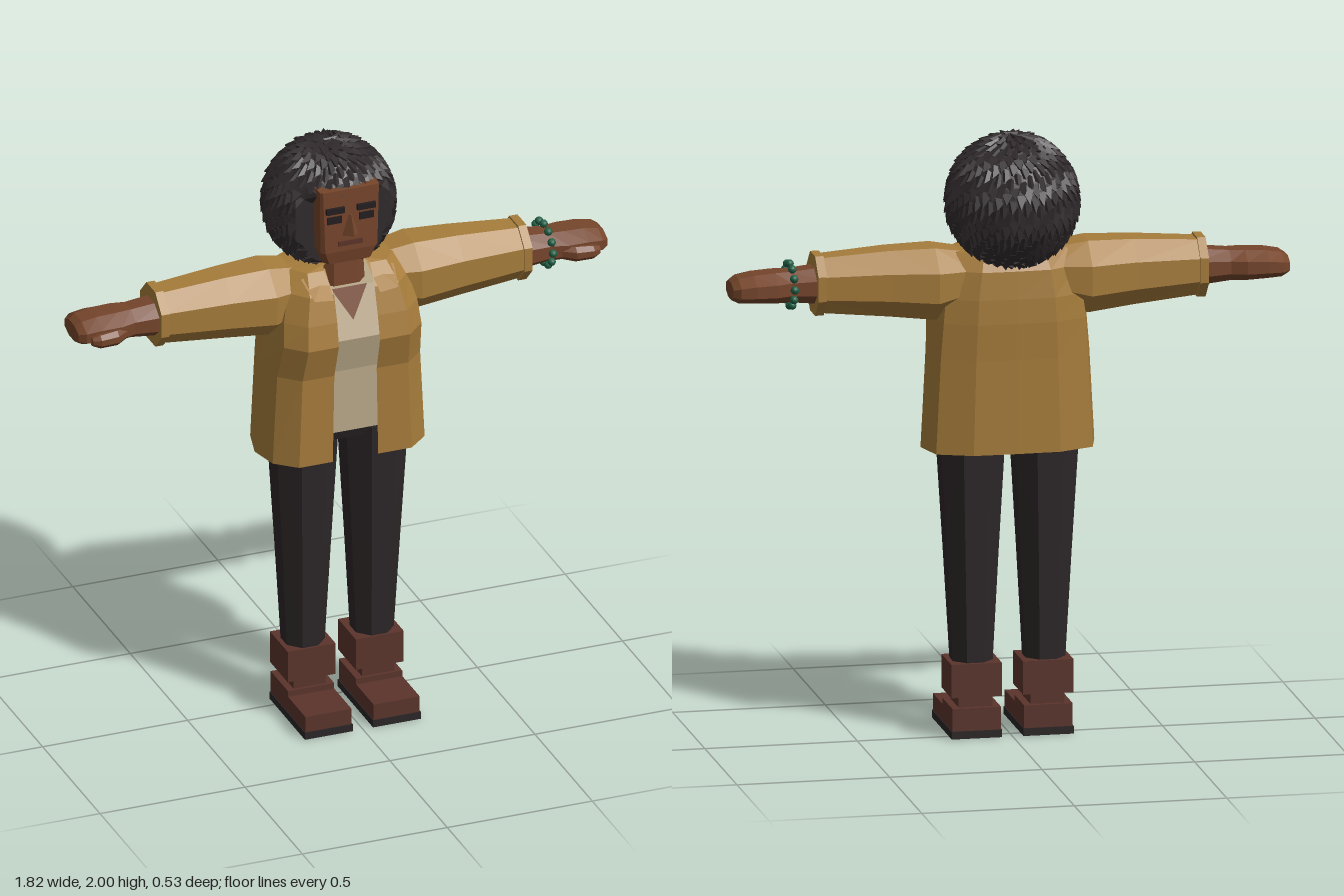
import * as THREE from 'three';
import { mergeGeometries } from 'three/addons/utils/BufferGeometryUtils.js';

const mat = (name, color) => Object.assign(new THREE.MeshStandardMaterial({ color }), { name });

// Flat facets from a list of triangles, each made of three [x, y, z] corners
function facets(tris) {
  const g = new THREE.BufferGeometry();
  g.setAttribute('position', new THREE.Float32BufferAttribute(tris.flat(2), 3));
  g.computeVertexNormals();
  return g;
}

// Skin a row of cross-sections; corners run counter-clockwise seen from the last section
function loft(rings, closed = true) {
  const t = [], n = rings[0].length;
  for (let r = 0; r < rings.length - 1; r++) {
    for (let i = 0; i < (closed ? n : n - 1); i++) {
      const j = (i + 1) % n, a = rings[r], b = rings[r + 1];
      t.push([a[i], a[j], b[j]], [a[i], b[j], b[i]]);
    }
  }
  if (closed) {
    const a = rings[0], b = rings[rings.length - 1];
    for (let i = 1; i < n - 1; i++) t.push([a[0], a[i + 1], a[i]], [b[0], b[i], b[i + 1]]);
  }
  return facets(t);
}

// Horizontal section from the [x, z] corners of the left half, front to back
const level = (y, half) => [
  ...half.map(([x, z]) => [x, y, z]),
  ...half.filter(p => p[0] > 0).reverse().map(([x, z]) => [-x, y, z]),
];

// Chamfered rectangular section
const slab = (y, w, back, front, c) =>
  level(y, [[w - c, front], [w, front - c], [w, back + c], [w - c, back]]);

// Eight-sided sections along x (arms) and along y (legs)
const oct = f => Array.from({ length: 8 }, (_, i) => f((i + 0.5) * Math.PI / 4));
const k = 1 / Math.cos(Math.PI / 8);
const armRing = ([x, y, z, ry, rz]) => oct(a => [x, y + ry * k * Math.cos(a), z + rz * k * Math.sin(a)]);
const legRing = ([y, x, z, rx, rz]) => oct(a => [x + rx * k * Math.cos(a), y, z - rz * k * Math.sin(a)]);

function box(x0, x1, y0, y1, z0, z1) {
  return new THREE.BoxGeometry(x1 - x0, y1 - y0, z1 - z0)
    .translate((x0 + x1) / 2, (y0 + y1) / 2, (z0 + z1) / 2);
}

// Mirror across x and restore the winding
function mirrored(geo) {
  const g = geo.index ? geo.toNonIndexed() : geo.clone();
  const p = g.attributes.position;
  for (let i = 0; i < p.count; i += 3) {
    const v = [0, 2, 1].map(j => [-p.getX(i + j), p.getY(i + j), p.getZ(i + j)]);
    v.forEach((q, j) => p.setXYZ(i + j, ...q));
  }
  g.computeVertexNormals();
  return g;
}

export function createModel() {
  const root = new THREE.Group();
  root.name = 'figure';
  const skin = mat('skin', 0x75452b), hair = mat('hair', 0x302a2c), coat = mat('jacket', 0xa67c3b);
  const pants = mat('trousers', 0x2c2627), boot = mat('boot leather', 0x5a342c), sole = mat('sole', 0x2b2526);
  const cloth = mat('shirt', 0xbaa98a), bead = mat('green bead', 0x1f5f45);
  const lip = mat('lips', 0x5c3328), dark = mat('eyes and brows', 0x241f21);
  coat.side = THREE.DoubleSide;

  const add = (name, geo, m) => {
    const mesh = new THREE.Mesh(geo, m);
    mesh.name = name;
    root.add(mesh);
  };
  const pair = (name, geo, m) => {
    add(name + 'Left', geo, m);
    add(name + 'Right', mirrored(geo), m);
  };

  // Boots
  pair('bootSole', box(0.035, 0.2, 0, 0.025, -0.045, 0.265), sole);
  pair('bootFoot', box(0.038, 0.197, 0.025, 0.08, -0.042, 0.262), boot);
  pair('bootHeel', box(0.038, 0.197, 0.08, 0.1, -0.042, 0.11), boot);
  pair('bootAnkle', box(0.062, 0.174, 0.09, 0.15, -0.025, 0.1), boot);
  pair('bootCuff', box(0.035, 0.2, 0.135, 0.245, -0.04, 0.115), boot);

  // Trousers
  pair('trouserLeg', loft([[0.22, 0.119, 0.04, 0.064, 0.066], [0.6, 0.12, 0.042, 0.084, 0.086],
    [1.02, 0.121, 0.043, 0.108, 0.106]].map(legRing)), pants);
  add('hips', loft([slab(0.99, 0.2, -0.06, 0.13, 0.05), slab(1.07, 0.22, -0.08, 0.16, 0.06)]), pants);

  // Shirt with the skin showing at its V neck
  add('shirt', loft([[1.04, 0.21, -0.09, 0.175], [1.26, 0.2, -0.09, 0.175], [1.38, 0.2, -0.09, 0.2],
    [1.54, 0.15, -0.07, 0.14]].map(([y, w, b, f]) => slab(y, w, b, f, 0.05))), cloth);
  add('neckline', facets([[[0, 1.44, 0.182], [0.062, 1.543, 0.144], [-0.062, 1.543, 0.144]]]), skin);
  add('neck', loft([slab(1.5, 0.075, -0.04, 0.125, 0.03), slab(1.66, 0.07, -0.05, 0.115, 0.03)]), skin);

  // Jacket, open down the front
  const jacketLevel = (y, open, w, f, b) =>
    level(y, [[open, f], [w * 0.68, f], [w * 0.92, f - 0.06], [w, 0.04], [w * 0.9, b + 0.045], [w * 0.5, b], [0, b - 0.003]]);
  add('jacket', loft([
    jacketLevel(0.95, 0.078, 0.285, 0.2, -0.115),
    jacketLevel(1.26, 0.073, 0.268, 0.2, -0.115),
    jacketLevel(1.38, 0.071, 0.258, 0.235, -0.118),
    jacketLevel(1.46, 0.07, 0.25, 0.218, -0.115),
    jacketLevel(1.55, 0.07, 0.225, 0.19, -0.105),
    jacketLevel(1.605, 0.08, 0.2, 0.125, -0.075),
    jacketLevel(1.615, 0.07, 0.09, 0.1, -0.05),
  ], false), coat);
  const c = [[0.07, 1.605, 0.11], [0.16, 1.59, 0.13], [0.145, 1.545, 0.21], [0.08, 1.54, 0.215]];
  pair('collarFlap', facets([[c[0], c[3], c[2]], [c[0], c[2], c[1]]]), coat);

  // Sleeves and cuffs
  pair('sleeve', loft([[0.13, 1.515, 0.025, 0.085, 0.1], [0.25, 1.502, 0.025, 0.118, 0.125],
    [0.4, 1.508, 0.03, 0.108, 0.108], [0.625, 1.51, 0.033, 0.09, 0.086]].map(armRing)), coat);
  pair('cuff', loft([[0.612, 1.51, 0.033, 0.098, 0.094], [0.64, 1.51, 0.033, 0.098, 0.094]].map(armRing)), coat);

  // Forearms, hands and thumbs
  pair('hand', loft([[0.6, 1.508, 0.035, 0.062, 0.077], [0.72, 1.508, 0.035, 0.05, 0.068],
    [0.77, 1.508, 0.033, 0.05, 0.084], [0.84, 1.508, 0.03, 0.046, 0.085], [0.89, 1.505, 0.03, 0.04, 0.08],
    [0.912, 1.503, 0.03, 0.028, 0.062]].map(armRing)), skin);
  pair('thumb', loft([[0.74, 1.5, 0.085, 0.022, 0.02], [0.79, 1.497, 0.112, 0.026, 0.026],
    [0.85, 1.495, 0.117, 0.023, 0.022], [0.875, 1.495, 0.112, 0.014, 0.014]].map(armRing)), skin);

  // Bead bracelet on the left wrist
  const beads = Array.from({ length: 12 }, (_, i) => {
    const a = i * Math.PI / 6;
    return new THREE.IcosahedronGeometry(0.014, 1)
      .translate(0.715, 1.51 + 0.069 * Math.cos(a), 0.033 + 0.081 * Math.sin(a));
  });
  add('bracelet', mergeGeometries(beads), bead);

  // Head and face
  add('head', loft([slab(1.635, 0.08, -0.1, 0.145, 0.012), slab(1.68, 0.098, -0.12, 0.155, 0.012),
    slab(1.9, 0.102, -0.12, 0.155, 0.008)]), skin);
  add('nose', loft([
    [[0.032, 1.735, 0.15], [-0.032, 1.735, 0.15], [0, 1.745, 0.192]],
    [[0.008, 1.81, 0.15], [-0.008, 1.81, 0.15], [0, 1.81, 0.162]],
  ]), skin);
  pair('brow', box(0.022, 0.085, 1.822, 1.842, 0.15, 0.165), dark);
  pair('eye', box(0.03, 0.08, 1.785, 1.81, 0.152, 0.159), dark);
  add('mouth', box(-0.042, 0.042, 1.7, 1.717, 0.152, 0.159), lip);

  // Round hair, pushed back around the face
  const centre = new THREE.Vector3(0, 1.77, -0.035);
  const core = new THREE.IcosahedronGeometry(1, 5).scale(0.212, 0.217, 0.215).translate(...centre);
  const p = core.attributes.position;
  for (let i = 0; i < p.count; i++) {
    if (p.getY(i) < 1.875 && p.getZ(i) > 0.09) p.setZ(i, 0.09);
  }
  core.computeVertexNormals();
  add('hairCore', core, hair);

  // Overlapping tufts pointing down and out
  const tufts = [], up = new THREE.Vector3(0, 1, 0), count = 560;
  for (let i = 0; i < count; i++) {
    const y = 1 - (i + 0.5) * 2 / count, r = Math.sqrt(1 - y * y), a = i * 2.39996;
    const n = new THREE.Vector3(r * Math.cos(a), y, r * Math.sin(a));
    const at = n.clone().multiply(new THREE.Vector3(0.209, 0.214, 0.212)).add(centre);
    if (at.z > 0.08 && at.y < 1.88) continue;
    const down = up.clone().negate().addScaledVector(n, n.y).normalize();
    const axis = n.clone().multiplyScalar(0.6).addScaledVector(down, 0.8).normalize();
    const g = new THREE.ConeGeometry(0.026, 0.042 + 0.008 * Math.sin(i * 12.9), 4).rotateY(i * 1.7).toNonIndexed();
    g.computeVertexNormals();
    g.applyQuaternion(new THREE.Quaternion().setFromUnitVectors(up, axis));
    tufts.push(g.translate(at.x, at.y, at.z));
  }
  add('hairTufts', mergeGeometries(tufts), hair);
  return root;
}
